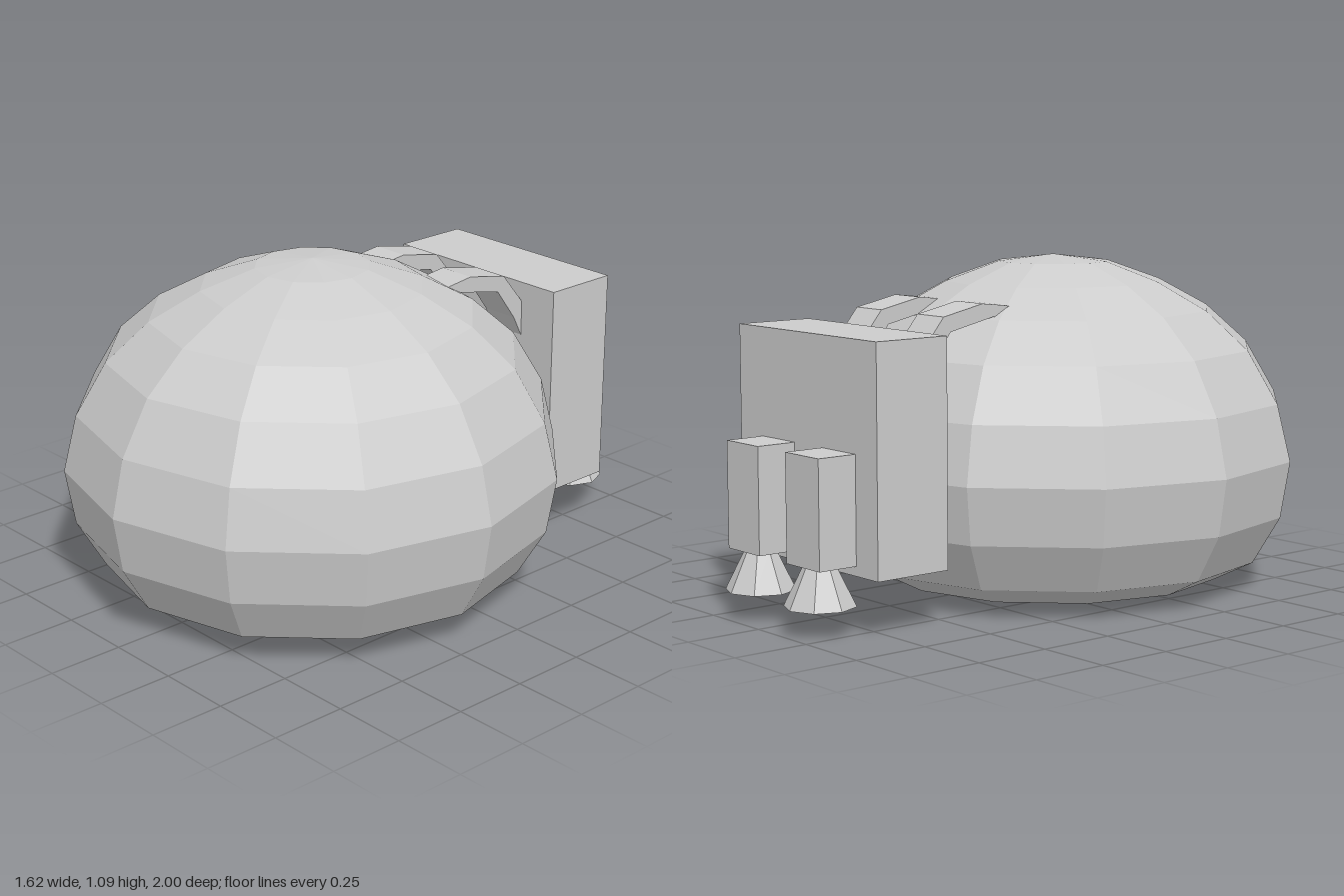
import * as THREE from 'three';

export function createModel() {
  const model = new THREE.Group();
  const material = new THREE.MeshStandardMaterial({ color: 0xcccccc, flatShading: true });

  function add(name, geometry, x, y, z) {
    const mesh = new THREE.Mesh(geometry, material);
    mesh.name = name;
    mesh.position.set(x, y, z);
    model.add(mesh);
    return mesh;
  }

  // Twelve-sided domed body with a flattened base, listed bottom to top
  const profile = [
    [0, 0], [0.2, 0.003], [0.4, 0.01], [0.56, 0.03], [0.69, 0.095], [0.78, 0.25], [0.81, 0.435],
    [0.765, 0.62], [0.665, 0.79], [0.525, 0.915], [0.36, 1.005], [0.185, 1.068], [0, 1.09],
  ].map(([r, y]) => new THREE.Vector2(r, y));
  add('body', new THREE.LatheGeometry(profile, 12), 0, 0, 0.19);

  // Backpack block
  add('backpack', new THREE.BoxGeometry(0.715, 0.715, 0.265), -0.002, 0.537, -0.682);

  // Thruster tanks with flared eight-sided nozzles
  for (const [side, x] of [['right', -0.167], ['left', 0.148]]) {
    add(side + 'Tank', new THREE.BoxGeometry(0.17, 0.34, 0.145), x, 0.38, -0.877);
    add(side + 'Nozzle', new THREE.CylinderGeometry(0.05, 0.112, 0.125, 8), x, 0.1475, -0.888);
  }

  // Bent straps from the backpack over the body: (z, y) outline extruded across x
  const strapWidth = 0.13;
  const outline = [
    [-0.12, 0.93], [-0.21, 0.957], [-0.305, 0.968], [-0.46, 0.936], [-0.545, 0.834], [-0.6, 0.72],
    [-0.56, 0.69], [-0.513, 0.78], [-0.433, 0.888], [-0.26, 0.925], [-0.14, 0.89],
  ].map(([z, y]) => new THREE.Vector2(z, y));
  const strap = new THREE.ExtrudeGeometry(new THREE.Shape(outline), {
    depth: strapWidth, bevelEnabled: false,
  });
  strap.translate(0, 0, -strapWidth / 2).rotateY(-Math.PI / 2);
  add('rightStrap', strap, -0.167, 0, 0);
  add('leftStrap', strap, 0.148, 0, 0);

  return model;
}
